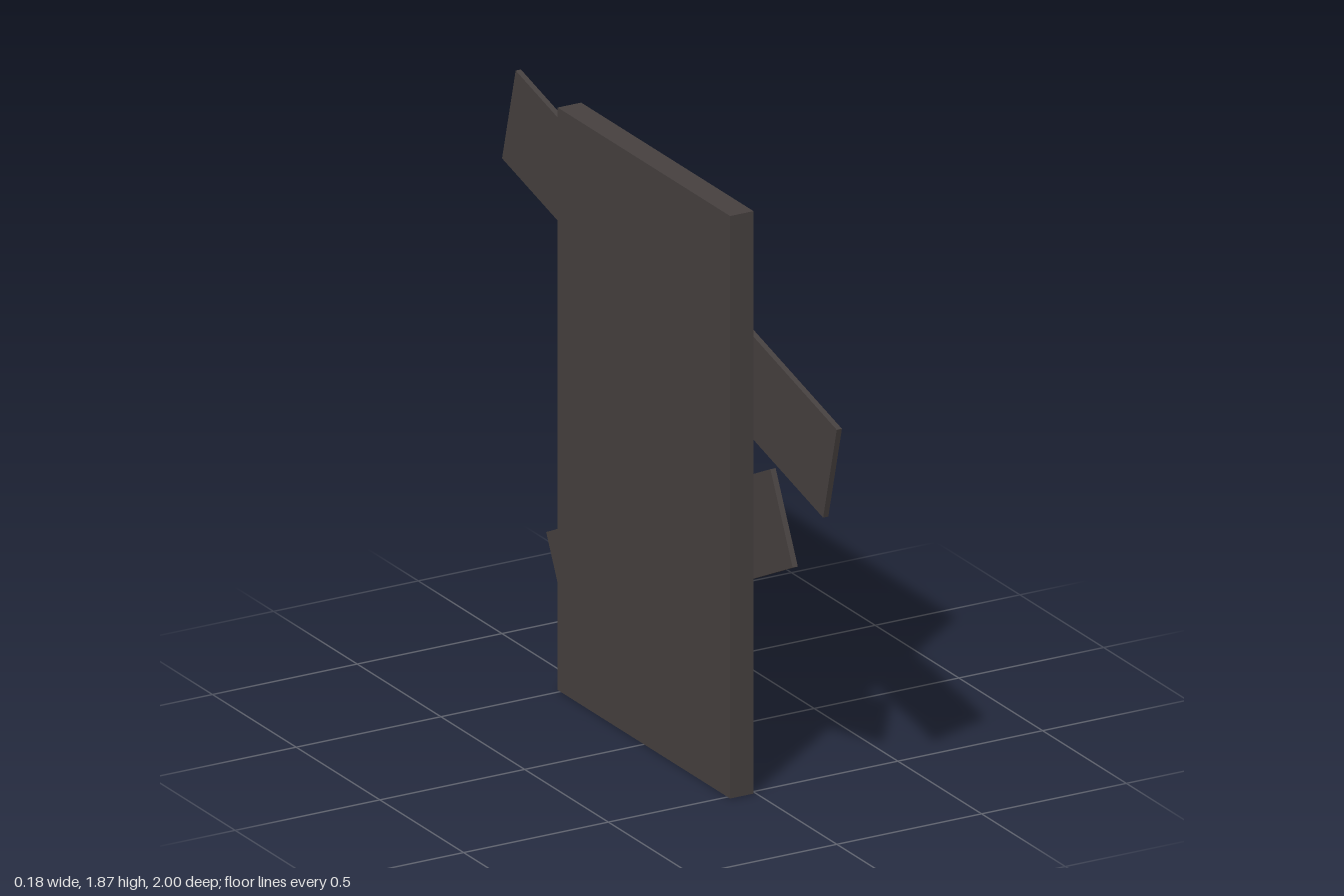
import * as THREE from 'three';

const wood = new THREE.MeshStandardMaterial({ color: 0x46403f });
wood.name = 'darkWood';
const knobPaint = new THREE.MeshStandardMaterial({ color: 0x403b38 });
knobPaint.name = 'knobBrown';
const steel = new THREE.MeshStandardMaterial({ color: 0xb0aeac });
steel.name = 'nailGrey';

function part(name, geometry, material, x = 0, y = 0, z = 0) {
  const mesh = new THREE.Mesh(geometry, material);
  mesh.name = name;
  mesh.position.set(x, y, z);
  return mesh;
}

// A tilted plank with nail heads at [along, across] positions
function plank(name, length, width, y, degrees, nails) {
  const group = new THREE.Group();
  group.name = name;
  const thick = 0.018;
  group.add(part(name + 'Board', new THREE.BoxGeometry(thick, width, length), wood));
  for (const [along, across] of nails) {
    const head = new THREE.CylinderGeometry(0.03, 0.03, 0.003, 12).rotateZ(-Math.PI / 2);
    group.add(part('nailHead', head, steel, thick / 2 + 0.001, across, along));
  }
  group.position.set(thick / 2, y, 0);
  group.rotation.x = THREE.MathUtils.degToRad(degrees);
  return group;
}

export function createModel() {
  const model = new THREE.Group();
  model.name = 'boardedDoor';

  // Door: frame with a deep rectangular recess, closed by a thin back panel
  const back = -0.088, floor = -0.072, front = -0.007;
  const width = 1.03, height = 1.87;
  const outline = new THREE.Shape([
    new THREE.Vector2(-width / 2, 0), new THREE.Vector2(width / 2, 0),
    new THREE.Vector2(width / 2, height), new THREE.Vector2(-width / 2, height),
  ]);
  outline.holes.push(new THREE.Path([
    new THREE.Vector2(-0.367, 0.275), new THREE.Vector2(-0.367, 1.6),
    new THREE.Vector2(0.367, 1.6), new THREE.Vector2(0.367, 0.275),
  ]));
  const frame = new THREE.ExtrudeGeometry(outline, { depth: front - floor, bevelEnabled: false });
  frame.rotateY(Math.PI / 2);
  model.add(part('doorFrame', frame, wood, floor));
  model.add(part('doorPanel', new THREE.BoxGeometry(floor - back, height, width), wood,
    (back + floor) / 2, height / 2));

  // Knob on a short stem
  const stem = new THREE.CylinderGeometry(0.03, 0.03, 0.092, 16).rotateZ(-Math.PI / 2);
  model.add(part('knobStem', stem, knobPaint, -0.026, 0.85, -0.245));
  model.add(part('knob', new THREE.SphereGeometry(0.068, 32, 20), knobPaint, 0.02, 0.85, -0.245));

  // Planks nailed across the doorway
  model.add(plank('upperPlank', 1.983, 0.32, 1.428, 14.75,
    [[0.938, 0.1], [0.931, -0.103], [-0.941, 0.117], [-0.945, -0.12]]));
  model.add(plank('lowerPlank', 1.491, 0.302, 0.607, -26.06,
    [[0.688, 0.098], [0.692, -0.1], [-0.676, 0.096], [-0.683, -0.1]]));

  return model;
}
